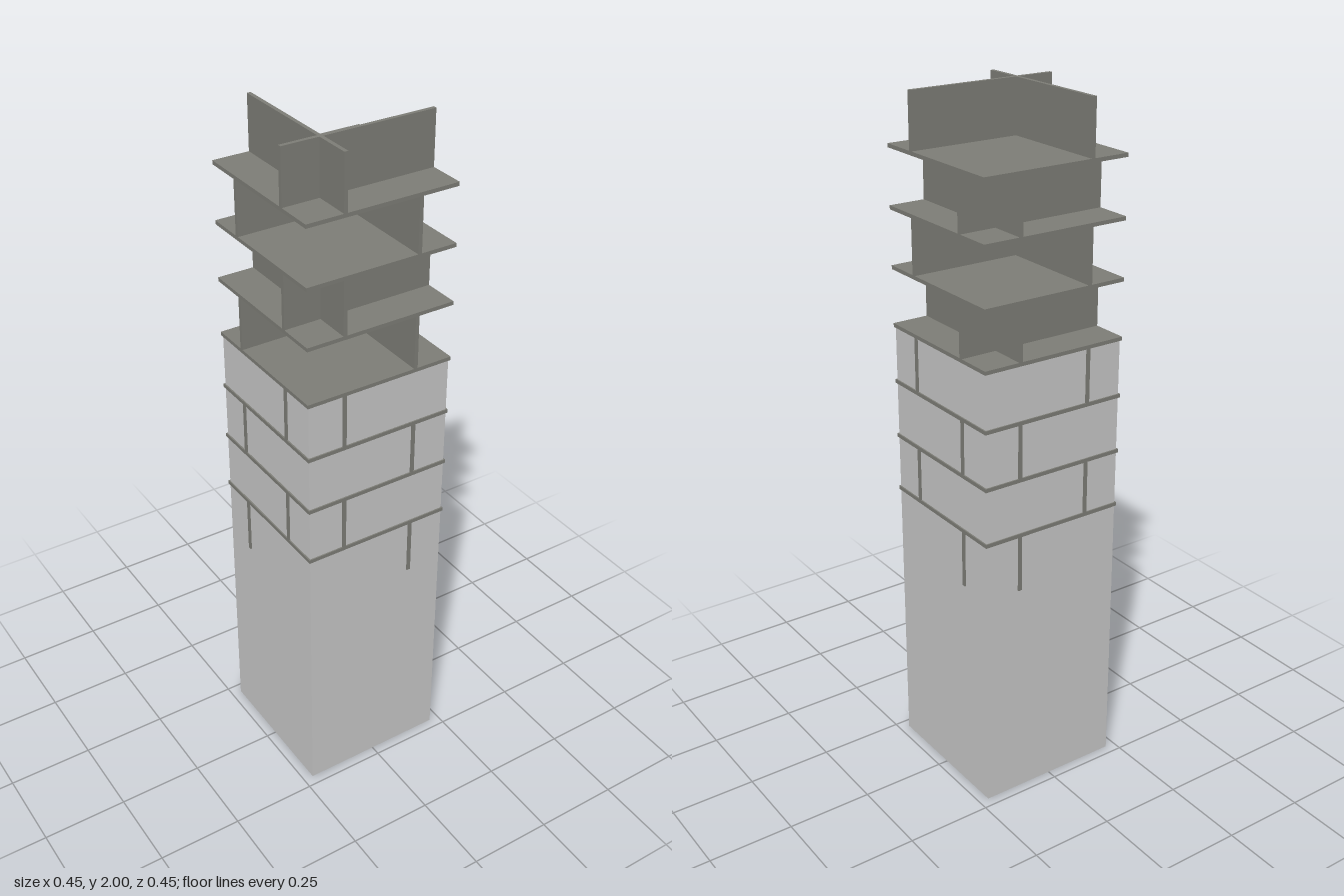
import * as THREE from 'three';

export function createModel() {
  const group = new THREE.Group();
  group.name = 'brickChimney';
  const brick = new THREE.MeshStandardMaterial({ color: 0xc8c8c8 });
  brick.name = 'light brick';
  const mortar = new THREE.MeshStandardMaterial({ color: 0x7e7e77 });
  mortar.name = 'dark mortar';

  const box = (name, material, size, position) => {
    const mesh = new THREE.Mesh(new THREE.BoxGeometry(...size), material);
    mesh.name = name;
    mesh.position.set(...position);
    group.add(mesh);
  };

  const height = 2, course = height / 12, coreTop = 8 * course;
  const width = 0.448, joint = 0.011, offset = 0.111;

  // Solid brick core, slightly inside the mortar joints
  box('brickCore', brick, [0.44, coreTop, 0.44], [0, coreTop / 2, 0]);

  // Crossed upright joints, alternating sides on each course
  for (let i = 0; i < 8; i++) {
    const side = i % 2 ? -offset : offset;
    const bottom = (4 + i) * course + (i ? joint : 0);
    const top = (5 + i) * course;
    const y = (bottom + top) / 2;
    box(`uprightJointAcross${i}`, mortar, [width, top - bottom, joint], [0, y, -side]);
    box(`uprightJointDeep${i}`, mortar, [joint, top - bottom, width], [side, y, 0]);

    // Flat bed joint above each course but the last
    if (i < 7) box(`bedJoint${i}`, mortar, [width, joint, width], [0, top + joint / 2, 0]);
  }
  return group;
}
